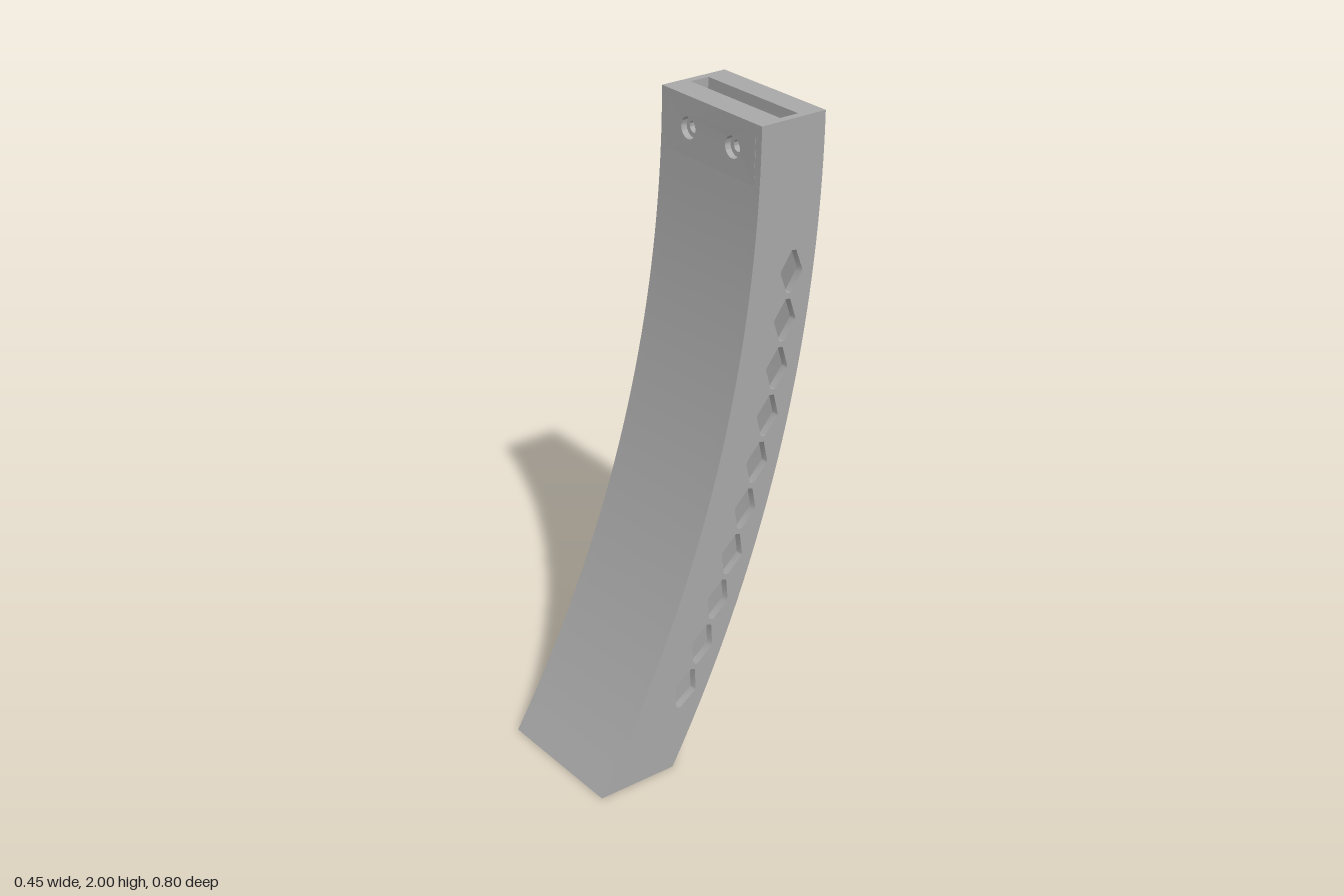
import * as THREE from 'three';
import { toCreasedNormals } from 'three/addons/utils/BufferGeometryUtils.js';

const CENTER_Z = 3.62, HEIGHT = 2;      // centre of the arc the body follows
const FRONT = 3.79, BACK = 4.02;        // radii of the front and back faces
const HALF = 0.225, INNER = 0.2;        // outer and inner half widths

const arcZ = (r, y) => CENTER_Z - Math.sqrt(r * r - (HEIGHT - y) ** 2);

// Bends a part whose local z is minus its radius onto the arc
function bend(geo) {
  const p = geo.attributes.position;
  for (let i = 0; i < p.count; i++) p.setZ(i, arcZ(-p.getZ(i), p.getY(i)));
  geo.computeVertexNormals();
  return geo;
}

const rectPoints = (x0, x1, y0, y1) =>
  [[x0, y0], [x1, y0], [x1, y1], [x0, y1]].map(([x, y]) => new THREE.Vector2(x, y));
const rectHole = (x, y, w, h) => new THREE.Path(rectPoints(x - w / 2, x + w / 2, y - h / 2, y + h / 2));
const roundHole = (x, y, r) => new THREE.Path().absarc(x, y, r, 0, Math.PI * 2, true);

function extrude(shape, holes, depth) {
  shape.holes.push(...holes);
  return new THREE.ExtrudeGeometry(shape, { depth, bevelEnabled: false, curveSegments: 16 });
}

// Curved bar between two widths, heights and radii
function strip(x0, x1, y0, y1, r0, r1) {
  const geo = new THREE.BoxGeometry(x1 - x0, y1 - y0, r1 - r0, 1, Math.max(1, Math.round((y1 - y0) / 0.05)), 1);
  geo.translate((x0 + x1) / 2, (y0 + y1) / 2, -(r0 + r1) / 2);
  return bend(geo);
}

// Upright plate with holes from front to back
function plate(shape, holes, r0, r1) {
  const geo = extrude(shape, holes, r1 - r0).translate(0, 0, -r1);
  return toCreasedNormals(bend(geo), 0.5);
}

// Level slab with holes from top to bottom
function slab(y0, y1, r0, r1, holes) {
  const geo = extrude(new THREE.Shape(rectPoints(-INNER, INNER, r0, r1)), holes, y1 - y0);
  geo.rotateX(-Math.PI / 2).translate(0, y0, 0);
  return toCreasedNormals(bend(geo), 0.5);
}

// Side wall with a row of diamond windows
function sideWall() {
  const outline = [], n = 40;
  for (let i = 0; i <= n; i++) outline.push(new THREE.Vector2(-arcZ(BACK, i * HEIGHT / n), i * HEIGHT / n));
  for (let i = n; i >= 0; i--) outline.push(new THREE.Vector2(-arcZ(FRONT, i * HEIGHT / n), i * HEIGHT / n));
  const diamonds = [];
  for (let i = 0; i < 10; i++) {
    const a = 0.117 + i * 0.0376, r = 3.938;
    const u = r * Math.cos(a) - CENTER_Z, y = HEIGHT - r * Math.sin(a);
    const corners = [[0.008, 0.065], [0.04, 0.004], [0.04, -0.004], [0.008, -0.065],
      [-0.008, -0.065], [-0.04, -0.004], [-0.04, 0.004], [-0.008, 0.065]];
    diamonds.push(new THREE.Path(corners.map(([s, t]) => new THREE.Vector2(
      u + s * Math.cos(a) + t * Math.sin(a), y - s * Math.sin(a) + t * Math.cos(a)))));
  }
  const geo = extrude(new THREE.Shape(outline), diamonds, HALF - INNER);
  return toCreasedNormals(geo.rotateY(Math.PI / 2), 0.5);
}

export function createModel() {
  const model = new THREE.Group();
  model.name = 'curvedMagazine';
  const grey = new THREE.MeshStandardMaterial({ color: 0xa8a8a8 });
  grey.name = 'grey';
  const add = (name, geo, x = 0) => {
    const mesh = new THREE.Mesh(geo, grey);
    mesh.name = name;
    mesh.position.x = x;
    model.add(mesh);
  };

  // Side walls
  const side = sideWall();
  add('leftWall', side, INNER);
  add('rightWall', side, -HALF);

  // Front wall, with recessed holes in its foot
  const inside = 3.86;
  add('frontWall', strip(-INNER, INNER, 0.1, 1.82, FRONT, inside));
  add('footRecess', slab(0, 0.03, FRONT, inside, [-1, 1].map(s => rectHole(s * 0.11, 3.826, 0.13, 0.04))));
  add('footHoles', slab(0.03, 0.1, FRONT, inside, [-1, 1].map(s => roundHole(s * 0.1, 3.826, 0.015))));

  // Countersunk screw holes near the top
  const screwPlate = (radius, r0, r1) => plate(new THREE.Shape(rectPoints(-INNER, INNER, 1.82, HEIGHT)),
    [-1, 1].map(s => roundHole(s * 0.1, 1.905, radius)), r0, r1);
  add('screwRecess', screwPlate(0.033, FRONT, 3.81));
  add('screwHoles', screwPlate(0.018, 3.81, 3.875));

  // Top block: pocket with a smaller pocket in its floor
  add('pocketFloor', slab(1.78, 1.85, inside, 3.95, [rectHole(0, 3.908, 0.08, 0.035)]));
  add('cavityCeiling', slab(1.72, 1.78, inside, 3.95, []));
  add('pocketBack', strip(-INNER, INNER, 1.72, HEIGHT, 3.94, 4.0));

  // Back wall, with a round-topped slot open at the bottom
  const lip = 4.0, slot = 0.065;
  for (const s of [-1, 1]) {
    const a = s * slot, b = s * INNER;
    add(s > 0 ? 'backLipLeft' : 'backLipRight', strip(Math.min(a, b), Math.max(a, b), 0, 1.645, lip, BACK));
  }
  const arch = new THREE.Shape();
  arch.moveTo(slot, 1.645).lineTo(INNER, 1.645).lineTo(INNER, 1.74)
    .lineTo(-INNER, 1.74).lineTo(-INNER, 1.645).lineTo(-slot, 1.645);
  arch.absarc(0, 1.645, slot, Math.PI, 0, true);
  add('slotArch', plate(arch, [], lip, BACK));
  add('upperBack', strip(-INNER, INNER, 1.74, HEIGHT, lip, BACK));

  return model;
}
